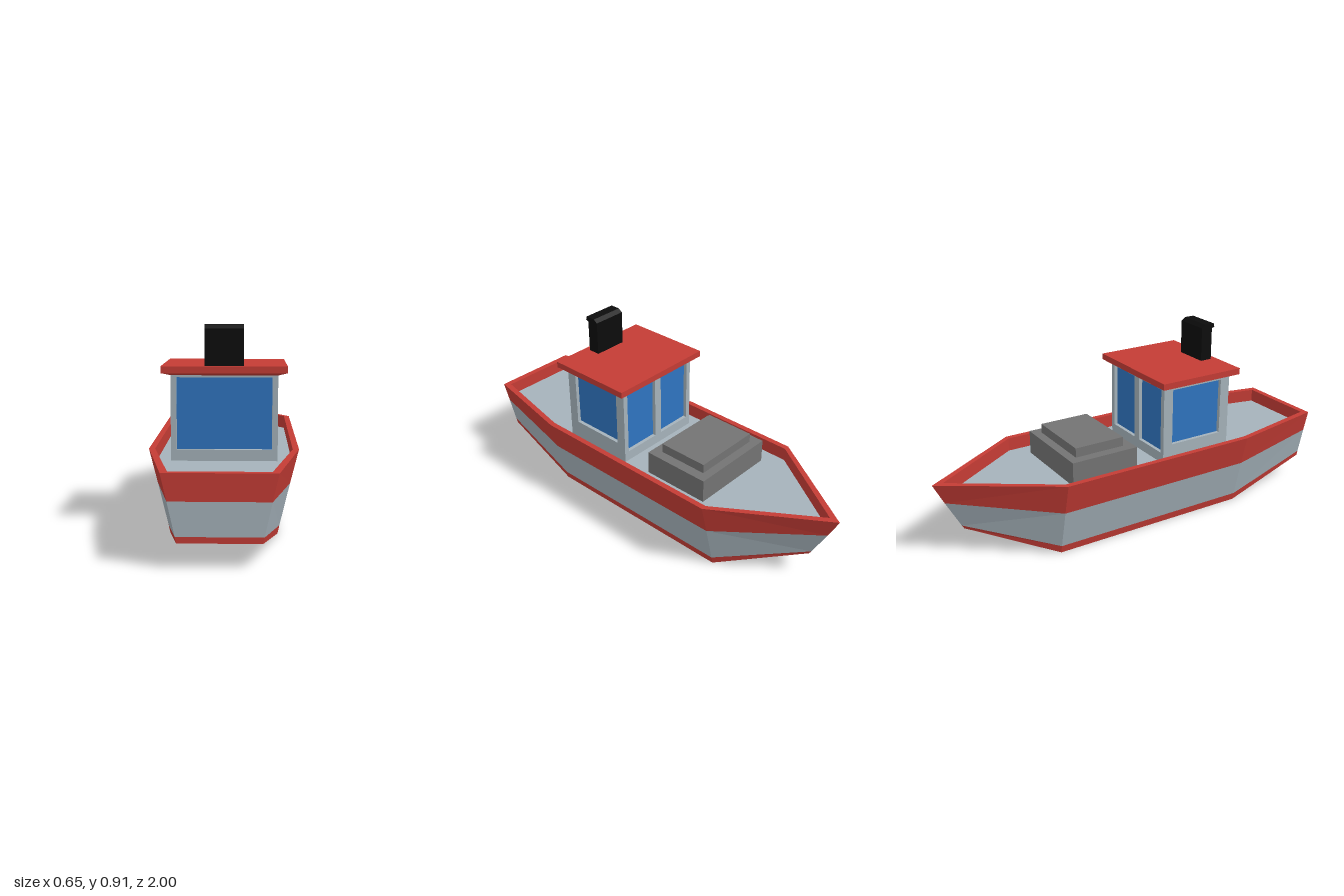
import * as THREE from 'three';

const mat = (name, color) => {
  const m = new THREE.MeshStandardMaterial({ color });
  m.name = name;
  return m;
};

// Hull outline at one level: stern corners, midship corners and the bow point
function ring([xs, ys, zs], [xm, ym], [yb, zb]) {
  const side = [[xs, ys, zs], [xm, ym, 0.5], [xm, ym, -0.5]];
  return [...side, [0, yb, zb], ...side.map(([x, y, z]) => [-x, y, z]).reverse()];
}

function facets(tris) {
  const g = new THREE.BufferGeometry();
  g.setAttribute('position', new THREE.Float32BufferAttribute(tris.flat(2), 3));
  g.computeVertexNormals();
  return g;
}

// Band of faces between two rings, with diagonals mirrored left to right
function band(a, b) {
  const tris = [];
  for (let i = 0; i < 7; i++) {
    const j = (i + 1) % 7;
    if (i < 3) tris.push([a[i], a[j], b[i]], [a[j], b[j], b[i]]);
    else tris.push([a[i], a[j], b[j]], [a[i], b[j], b[i]]);
  }
  return facets(tris);
}

function cap(r, down) {
  const idx = [[0, 1, 5], [0, 5, 6], [1, 2, 4], [1, 4, 5], [2, 3, 4]];
  return facets(idx.map(([a, b, c]) => (down ? [r[a], r[c], r[b]] : [r[a], r[b], r[c]])));
}

// Wall panel with rectangular window openings; its outer face is at z = 0
function wallGeometry(w, y0, y1, holes, t) {
  const rect = (p, x0, a, x1, b) => p.moveTo(x0, a).lineTo(x1, a).lineTo(x1, b).lineTo(x0, b).closePath();
  const s = rect(new THREE.Shape(), -w / 2, y0, w / 2, y1);
  for (const h of holes) s.holes.push(rect(new THREE.Path(), ...h));
  return new THREE.ExtrudeGeometry(s, { depth: t, bevelEnabled: false }).translate(0, 0, -t);
}

export function createModel() {
  const red = mat('red paint', 0xc43c35);
  const grey = mat('light grey paint', 0xa5b2ba);
  const blue = mat('blue glass', 0x2f74c0);
  const dark = mat('hatch grey', 0x737373);
  const black = mat('black', 0x0c0c0c);

  const model = new THREE.Group();
  model.name = 'boat';
  const add = (name, geometry, material, parent = model) => {
    const m = new THREE.Mesh(geometry, material);
    m.name = name;
    parent.add(m);
    return m;
  };
  const box = (name, material, x, y0, y1, z0, z1, parent) =>
    add(name, new THREE.BoxGeometry(2 * x, y1 - y0, z1 - z0), material, parent)
      .position.set(0, (y0 + y1) / 2, (z0 + z1) / 2);

  // Hull levels, keel to gunwale
  const keel = ring([0.165, 0.103, 1], [0.235, 0], [0.125, -0.87]);
  const low = ring([0.17, 0.128, 1], [0.243, 0.037], [0.142, -0.88]);
  const high = ring([0.2, 0.265, 1], [0.288, 0.226], [0.275, -0.95]);
  const top = ring([0.225, 0.375, 1], [0.325, 0.375], [0.375, -1]);
  const inner = ring([0.2, 0.375, 0.97], [0.298, 0.375], [0.375, -0.95]);
  const floor = ring([0.2, 0.31, 0.97], [0.298, 0.31], [0.31, -0.95]);
  const hull = new THREE.Group();
  hull.name = 'hull';
  model.add(hull);
  add('hullBottom', cap(keel, true), red, hull);
  add('lowerStripe', band(keel, low), red, hull);
  add('hullSides', band(low, high), grey, hull);
  add('upperStripe', band(high, top), red, hull);
  add('gunwale', band(top, inner), red, hull);
  add('bulwarkInside', band(inner, floor), red, hull);
  add('deck', cap(floor, false), grey, hull);

  // Cabin: framed walls around a glass core
  const cabin = new THREE.Group();
  cabin.name = 'cabin';
  model.add(cabin);
  const y0 = 0.31, y1 = 0.69, t = 0.02, hw = 0.235, z0 = 0.06, z1 = 0.44, zc = 0.25;
  const sideHole = [[-0.14, 0.4, 0.14, 0.675]];
  add('frontWall', wallGeometry(2 * hw, y0, y1, [[-0.21, 0.36, 0.21, 0.68]], t), grey, cabin)
    .position.z = z1;
  const back = add('backWall', wallGeometry(2 * hw, y0, y1,
    [[-0.21, 0.36, -0.02, 0.68], [0.02, 0.36, 0.21, 0.68]], t), grey, cabin);
  back.rotation.y = Math.PI;
  back.position.z = z0;
  for (const s of [1, -1]) {
    const wall = add(s > 0 ? 'leftWall' : 'rightWall',
      wallGeometry(z1 - z0 - 2 * t, y0, y1, sideHole, t), grey, cabin);
    wall.rotation.y = s * Math.PI / 2;
    wall.position.set(s * hw, 0, zc);
  }
  box('windowGlass', blue, hw - t + 0.002, y0 + 0.01, y1 - 0.002, z0 + t - 0.002, z1 - t + 0.002, cabin);

  // Roof slab with a shallow flared underside
  box('roof', red, 0.275, 0.7, 0.73, 0.03, 0.47, cabin);
  const eave = new THREE.BoxGeometry(0.55, 0.012, 0.44);
  const p = eave.attributes.position;
  for (let i = 0; i < p.count; i++) {
    if (p.getY(i) < 0) p.setXYZ(i, Math.sign(p.getX(i)) * hw, p.getY(i), Math.sign(p.getZ(i)) * 0.19);
  }
  eave.computeVertexNormals();
  add('roofUnderside', eave, red, cabin).position.set(0, 0.695, zc);

  // Funnel with its lip swept towards the stern
  const profile = [[0.38, 0.73], [0.44, 0.73], [0.44, 0.887], [0.455, 0.893], [0.45, 0.91], [0.4, 0.91], [0.38, 0.895]];
  const funnel = add('funnel', new THREE.ExtrudeGeometry(
    new THREE.Shape(profile.map(([z, y]) => new THREE.Vector2(-z, y))),
    { depth: 0.17, bevelEnabled: false }).translate(0, 0, -0.085), black);
  funnel.rotation.y = Math.PI / 2;

  // Stepped cargo hatch
  box('hatchBase', dark, 0.22, 0.31, 0.425, -0.42, -0.08);
  box('hatchCover', dark, 0.172, 0.425, 0.47, -0.378, -0.127);

  return model;
}
